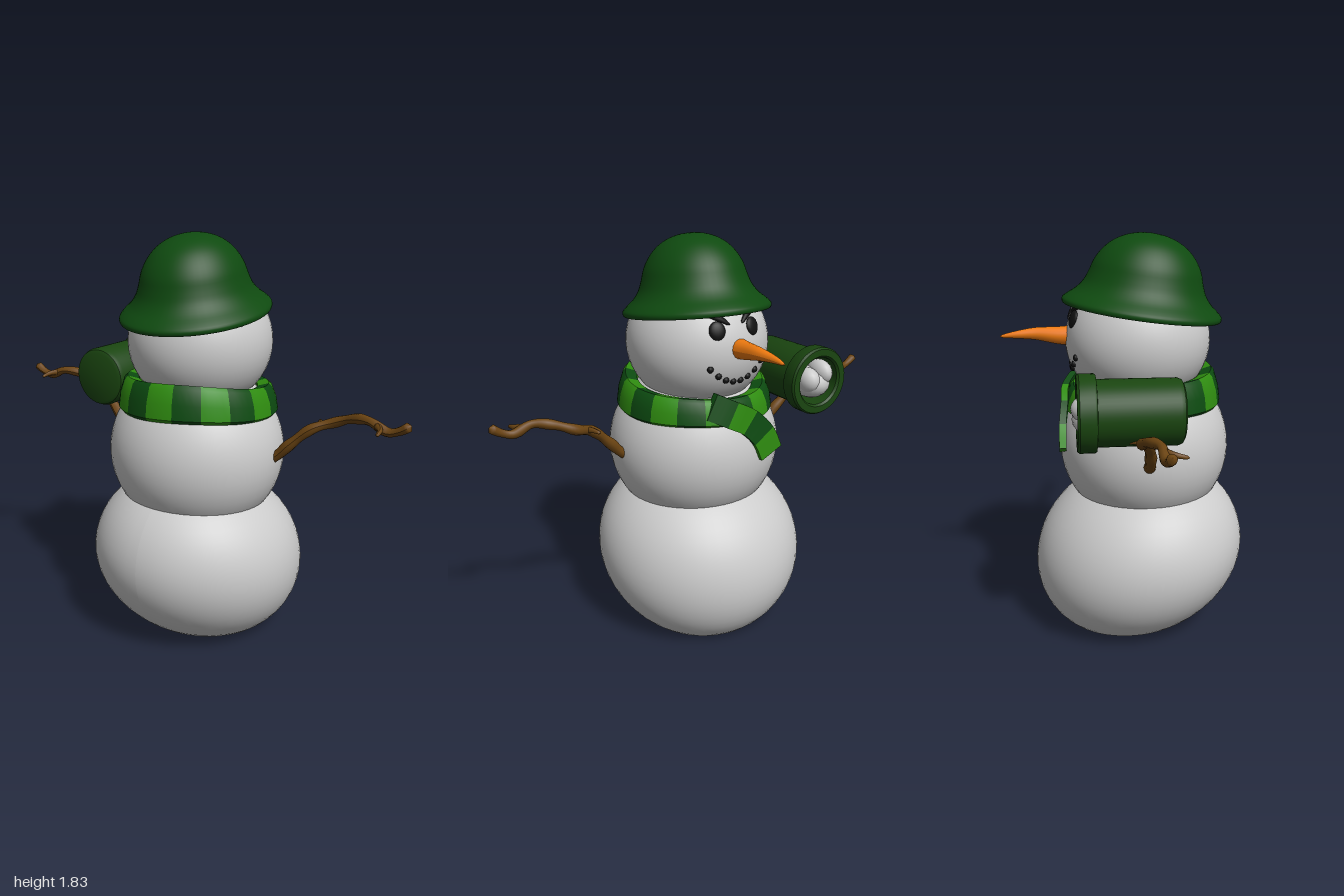
import * as THREE from 'three';
import { toCreasedNormals } from 'three/addons/utils/BufferGeometryUtils.js';

const V = (x, y, z) => new THREE.Vector3(x, y, z);
const mat = (color, side = THREE.FrontSide) => new THREE.MeshStandardMaterial({ color, side });
const snow = mat(0xcccccc);
const hatGreen = mat(0x0f4a10, THREE.DoubleSide);
const potGreen = mat(0x1a4510, THREE.DoubleSide);
const stripes = [mat(0x2f8c10, THREE.DoubleSide), mat(0x0c4a10, THREE.DoubleSide)];
const bark = mat(0x6b4412);
const carrot = mat(0xee7a10);
const coal = mat(0x111111);

const HEAD = { c: V(0.01, 1.37, 0.057), r: V(0.32, 0.3, 0.327) };

function add(parent, name, geometry, material) {
  const mesh = new THREE.Mesh(geometry, material);
  mesh.name = name;
  parent.add(mesh);
  return mesh;
}

function ball(parent, name, c, r, material, detail = 48) {
  const mesh = add(parent, name, new THREE.SphereGeometry(1, detail, detail / 2), material);
  mesh.position.copy(c);
  mesh.scale.copy(r);
  return mesh;
}

function lathe(pairs, segments = 48) {
  return new THREE.LatheGeometry(pairs.map(([r, y]) => new THREE.Vector2(r, y)), segments);
}

// Round tube whose radius follows a function of t and closes at both ends
function taperedTube(points, radius, steps = 24, sides = 10) {
  const curve = new THREE.CatmullRomCurve3(points);
  const g = new THREE.TubeGeometry(curve, steps, 1, sides);
  const p = g.attributes.position, v = V(0, 0, 0);
  for (let i = 0; i <= steps; i++) {
    const c = curve.getPointAt(i / steps);
    const r = i === 0 || i === steps ? 0.0005 : radius(i / steps);
    for (let j = 0; j <= sides; j++) {
      const k = i * (sides + 1) + j;
      v.fromBufferAttribute(p, k).sub(c).multiplyScalar(r).add(c);
      p.setXYZ(k, v.x, v.y, v.z);
    }
  }
  g.computeVertexNormals();
  return g;
}

// Skin over a list of equal closed cross-sections, with fan caps
function loft(rings) {
  const n = rings[0].length, pos = [], idx = [];
  rings.forEach(ring => ring.forEach(q => pos.push(q.x, q.y, q.z)));
  for (let i = 0; i < rings.length - 1; i++) {
    for (let j = 0; j < n; j++) {
      const a = i * n + j, b = i * n + (j + 1) % n;
      idx.push(a, b, a + n, b, b + n, a + n);
    }
  }
  const last = (rings.length - 1) * n;
  for (let j = 1; j < n - 1; j++) idx.push(0, j + 1, j, last, last + j, last + j + 1);
  const g = new THREE.BufferGeometry();
  g.setAttribute('position', new THREE.Float32BufferAttribute(pos, 3));
  g.setIndex(idx);
  return toCreasedNormals(g, 0.7);
}

// Point on the face side (-z) of the head
function onFace(x, y, lift = 0) {
  const { c, r } = HEAD;
  const k = 1 - ((x - c.x) / r.x) ** 2 - ((y - c.y) / r.y) ** 2;
  return V(x, y, c.z - r.z * Math.sqrt(Math.max(k, 0)) - lift);
}

function buildBody(root) {
  // Bottom ball: squashed, flattened underneath and leaning slightly
  const profile = [[0.001, 0.05], [0.15, 0.04], [0.25, 0.027], [0.3, 0.027]];
  for (let i = 0; i <= 24; i++) {
    const a = -0.86 + (i / 24) * (Math.PI / 2 + 0.86);
    profile.push([Math.max(0.49 * Math.cos(a), 0.001), 0.36 + 0.43 * Math.sin(a)]);
  }
  const g = lathe(profile, 56);
  const p = g.attributes.position;
  for (let i = 0; i < p.count; i++) {
    const x = p.getX(i), y = p.getY(i), z = p.getZ(i);
    const low = Math.max(0, 1 - y / 0.5);
    p.setXYZ(i, x, y + low * (0.05 * z - 0.03 * x), z + 0.065 + 0.13 * (y - 0.36));
  }
  g.computeVertexNormals();
  add(root, 'lowerBody', g, snow);
  ball(root, 'middleBody', V(0.01, 0.88, 0.088), V(0.4, 0.385, 0.39), snow);
  ball(root, 'head', HEAD.c, HEAD.r, snow);
}

function buildFace(root) {
  const face = new THREE.Group();
  face.name = 'face';
  root.add(face);
  for (const s of [-1, 1]) {
    const eye = ball(face, 'eye', onFace(0.01 + s * 0.09, 1.475), V(0.036, 0.04, 0.014), coal, 20);
    eye.rotation.set(0.3, s * -0.3, 0);
    const brow = [[0.03, 1.495], [0.075, 1.525], [0.12, 1.54], [0.15, 1.535]]
      .map(([x, y]) => onFace(0.01 + s * x, y, 0.004));
    add(face, 'eyebrow', taperedTube(brow, t => 0.005 + 0.009 * Math.sin(Math.PI * t), 14, 8), coal);
  }
  // Smile of coal pieces
  for (let i = 0; i < 8; i++) {
    const t = -1 + (2 * i) / 7;
    ball(face, 'mouthCoal', onFace(t * 0.135, 1.245 + 0.07 * t * t), V(0.015, 0.015, 0.012), coal, 12);
  }
  const nosePath = [V(0, 1.39, -0.2), V(0, 1.392, -0.3), V(0.006, 1.4, -0.4), V(0, 1.397, -0.49), V(0, 1.39, -0.56)];
  add(face, 'carrotNose', taperedTube(nosePath, t => 0.046 * (1 - t) ** 0.8 + 0.004, 24, 16), carrot);
}

function buildHat(root) {
  const outline = [[0.27, 0.035], [0.305, 0.005], [0.325, -0.012], [0.34, -0.01], [0.343, 0.008], [0.325, 0.028],
    [0.29, 0.058], [0.262, 0.095], [0.244, 0.14], [0.228, 0.19], [0.2, 0.238], [0.16, 0.28], [0.11, 0.31], [0.055, 0.327], [0.001, 0.332]];
  const curve = new THREE.SplineCurve(outline.map(([r, y]) => new THREE.Vector2(r, y)));
  const hat = add(root, 'hat', new THREE.LatheGeometry(curve.getPoints(48), 56), hatGreen);
  hat.position.set(0, 1.505, 0.075);
  hat.rotation.x = 0.135;
  hat.scale.set(0.94, 1, 1.05);
}

function buildScarf(root) {
  const scarf = new THREE.Group();
  scarf.name = 'scarf';
  root.add(scarf);
  // Cross-section of the neck band at an angle; a = 0 is +z
  const section = a => {
    const c = Math.cos(a);
    const b = 1.068 + 0.015 * c + 0.006 * Math.sin(3 * a);
    const h = 0.137 + 0.023 * c;
    return [[0.29, 0], [0.345, 0], [0.358, 0.1], [0.35, 0.5], [0.33, 0.9], [0.315, 1], [0.265, 0.9]]
      .map(([r, v]) => V(0.012 + r * Math.sin(a), b + h * v, 0.078 + r * c));
  };
  const count = 18, step = (2 * Math.PI) / count;
  for (let i = 0; i < count; i++) {
    const rings = [];
    for (let k = 0; k <= 4; k++) rings.push(section(0.09 + (i - 0.5 + k / 4) * step));
    add(scarf, 'scarfStripe', loft(rings), stripes[i % 2]);
  }
  // Loose end hanging diagonally over the chest
  const path = new THREE.CatmullRomCurve3([V(0.13, 1.15, -0.235), V(0.05, 1.11, -0.275), V(-0.04, 1.06, -0.285),
    V(-0.11, 0.985, -0.298), V(-0.15, 0.9, -0.3)]);
  const ring = t => {
    const c = path.getPointAt(t), d = path.getTangentAt(t);
    const side = V(-d.y, d.x, 0).normalize();
    return [[-1, -1], [1, -1], [1, 1], [-1, 1]].map(([u, w]) => {
      const q = c.clone().addScaledVector(side, u * 0.06);
      q.z += w * 0.016 + Math.abs(q.x - c.x) * 0.12;
      return q;
    });
  };
  for (let i = 0; i < 4; i++) {
    const rings = [];
    for (let k = 0; k <= 4; k++) rings.push(ring((i + k / 4) / 4));
    add(scarf, 'scarfTail', loft(rings), stripes[(i + 1) % 2]);
  }
}

function buildArms(root) {
  const path = [[0.34, 0.87, 0.07], [0.41, 0.905, 0.068], [0.47, 0.965, 0.062], [0.56, 1.045, 0.04], [0.65, 1.08, 0.005],
    [0.74, 1.115, 0.022], [0.82, 1.125, 0.055], [0.9, 1.095, 0.062], [0.95, 1.11, 0.068], [0.995, 1.14, 0.07]];
  const twigs = [
    [[0.59, 1.06, 0.03], [0.575, 1.065, -0.01], [0.56, 1.06, -0.045]],
    [[0.85, 1.115, 0.06], [0.88, 1.11, 0.1], [0.885, 1.1, 0.15]],
  ];
  for (const s of [-1, 1]) {
    const arm = new THREE.Group();
    arm.name = s > 0 ? 'leftArm' : 'rightArm';
    root.add(arm);
    const place = pts => pts.map(([x, y, z]) => V(s * x, y, z));
    add(arm, 'branch', taperedTube(place(path), t => 0.026 - 0.008 * t + 0.002 * Math.sin(t * 40), 60), bark);
    for (const twig of twigs) add(arm, 'twig', taperedTube(place(twig), t => 0.016 - 0.009 * t, 10, 8), bark);
  }
}

function buildPot(root) {
  const pot = new THREE.Group();
  pot.name = 'pot';
  pot.position.set(-0.48, 1.16, 0);
  root.add(pot);
  // Hollow pipe-shaped pot lying with its mouth towards -z
  const shell = lathe([[0.001, -0.19], [0.115, -0.19], [0.13, -0.182], [0.137, -0.165], [0.137, 0.16], [0.155, 0.162], [0.16, 0.17],
    [0.16, 0.23], [0.153, 0.24], [0.122, 0.24], [0.113, 0.23], [0.108, -0.05], [0.001, -0.05]]);
  shell.rotateX(-Math.PI / 2);
  add(pot, 'potShell', toCreasedNormals(shell, 0.6), potGreen);
  // Heap of snow inside the mouth
  const lumps = [[-0.01, -0.02, -0.16, 0.085, 0.075, 0.1], [0.03, 0.0, -0.19, 0.05, 0.06, 0.065], [-0.04, 0.03, -0.19, 0.045, 0.06, 0.075]];
  for (const [x, y, z, a, b, c] of lumps) ball(pot, 'potSnow', V(x, y, z), V(a, b, c), snow, 20);
}

export function createModel() {
  const root = new THREE.Group();
  root.name = 'snowman';
  buildBody(root);
  buildFace(root);
  buildHat(root);
  buildScarf(root);
  buildArms(root);
  buildPot(root);
  return root;
}
